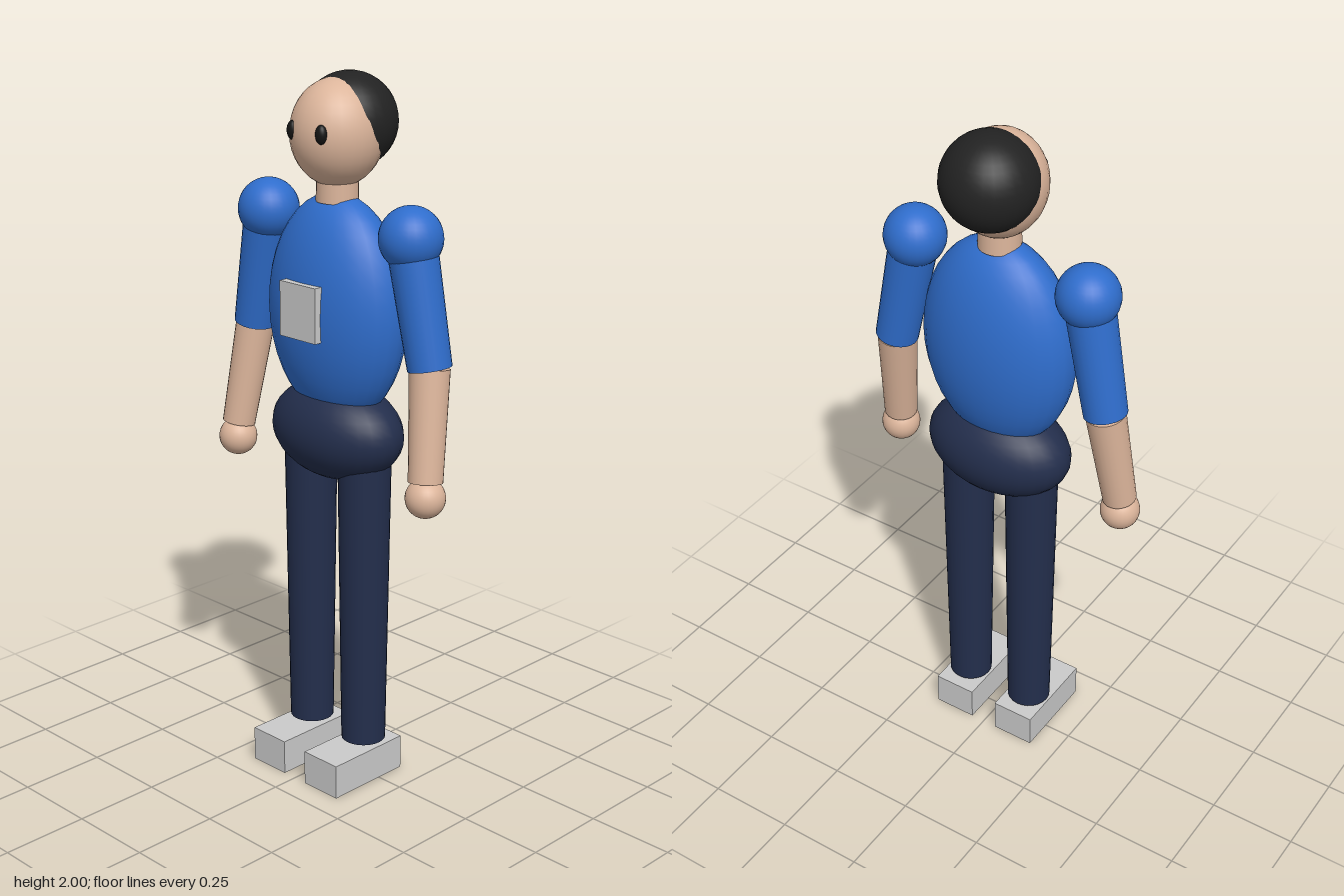
import * as THREE from 'three';

const mat = (name, color) => Object.assign(new THREE.MeshStandardMaterial({ color }), { name });

export function createModel() {
  const shirt = mat('shirt blue', 0x2f6dcc);
  const skin = mat('skin', 0xdcb59b);
  const trousers = mat('trouser navy', 0x232e4c);
  const hair = mat('hair black', 0x222222);
  const pale = mat('pale grey', 0xcacaca);
  const dark = mat('eye black', 0x141414);

  const model = new THREE.Group();
  model.name = 'standingFigure';

  const add = (name, geometry, material, x, y, z) => {
    const mesh = new THREE.Mesh(geometry, material);
    mesh.name = name;
    mesh.position.set(x, y, z);
    model.add(mesh);
    return mesh;
  };
  const ellipsoid = (name, material, [x, y, z], [rx, ry, rz]) =>
    add(name, new THREE.SphereGeometry(1, 28, 20).scale(rx, ry, rz), material, x, y, z);
  const box = (name, material, [x, y, z], size) =>
    add(name, new THREE.BoxGeometry(...size), material, x, y, z);

  // Tapered cylinder from a (upper end) to b (lower end)
  const limb = (name, material, a, b, ra, rb) => {
    const top = new THREE.Vector3(...a);
    const bottom = new THREE.Vector3(...b);
    const axis = top.clone().sub(bottom);
    const mid = top.clone().add(bottom).multiplyScalar(0.5);
    const mesh = add(name, new THREE.CylinderGeometry(ra, rb, axis.length(), 24), material, mid.x, mid.y, mid.z);
    mesh.quaternion.setFromUnitVectors(new THREE.Vector3(0, 1, 0), axis.normalize());
  };

  // Body and head
  ellipsoid('torso', shirt, [0, 1.365, 0], [0.228, 0.318, 0.139]);
  ellipsoid('hips', trousers, [0, 1.022, 0], [0.217, 0.14, 0.14]);
  limb('neck', skin, [0, 1.76, 0], [0, 1.66, 0], 0.056, 0.058);
  ellipsoid('head', skin, [0, 1.843, 0], [0.126, 0.145, 0.13]);
  ellipsoid('hair', hair, [0, 1.869, -0.045], [0.131, 0.131, 0.131]);
  box('chestPanel', pale, [0, 1.381, 0.139], [0.134, 0.152, 0.024]);

  for (const [side, s] of [['left', 1], ['right', -1]]) {
    ellipsoid(side + 'Eye', dark, [s * 0.053, 1.855, 0.112], [0.017, 0.026, 0.015]);

    // Arm, hanging outward with the forearm brought slightly forward
    const shoulder = [s * 0.268, 1.6, 0];
    const elbow = [s * 0.335, 1.263, -0.006];
    const wrist = [s * 0.365, 0.965, 0.037];
    ellipsoid(side + 'Shoulder', shirt, shoulder, [0.086, 0.086, 0.086]);
    limb(side + 'UpperArm', shirt, shoulder, elbow, 0.068, 0.06);
    limb(side + 'Forearm', skin, elbow, wrist, 0.055, 0.047);
    ellipsoid(side + 'Hand', skin, [s * 0.367, 0.922, 0.039], [0.055, 0.055, 0.055]);

    // Leg and shoe
    limb(side + 'Leg', trousers, [s * 0.105, 1.0, 0], [s * 0.105, 0.112, 0], 0.075, 0.063);
    box(side + 'Shoe', pale, [s * 0.105, 0.05, 0.042], [0.127, 0.1, 0.264]);
  }
  return model;
}
